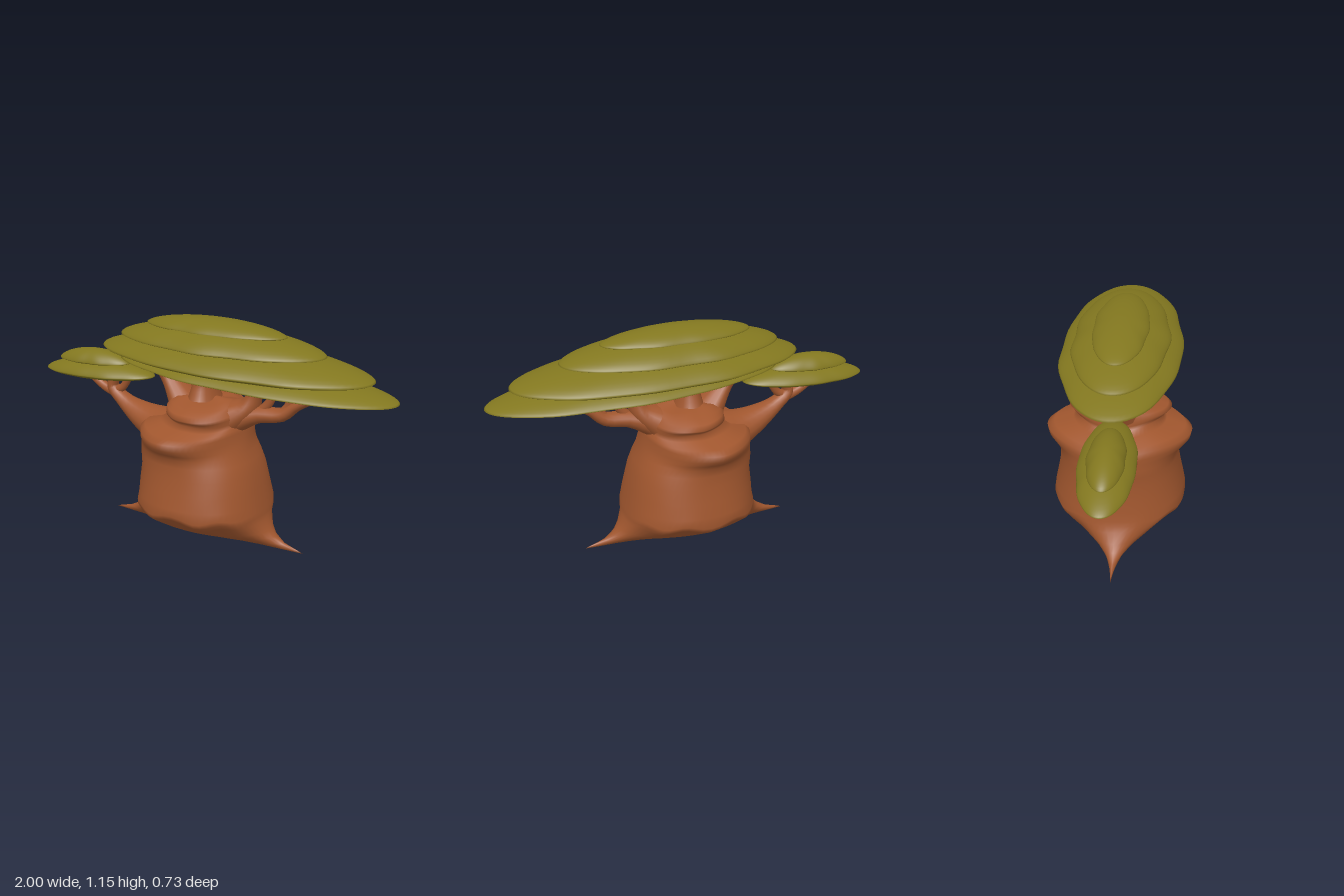
import * as THREE from 'three';

const bark = new THREE.MeshStandardMaterial({ color: 0xa0562e });
bark.name = 'bark';
const leaf = new THREE.MeshStandardMaterial({ color: 0x82771f });
leaf.name = 'leaf';

// Smooth skin over a stack of closed rings; point(ring, angle) gives [x, y, z]
function loft(name, material, rings, sides, point) {
  const pos = [], index = [];
  for (let j = 0; j < rings; j++) {
    for (let i = 0; i < sides; i++) {
      pos.push(...point(j, (i / sides) * Math.PI * 2));
      if (j === rings - 1) continue;
      const a = j * sides + i, b = j * sides + ((i + 1) % sides);
      index.push(a, a + sides, b, b, a + sides, b + sides);
    }
  }
  const geo = new THREE.BufferGeometry();
  geo.setAttribute('position', new THREE.Float32BufferAttribute(pos, 3));
  geo.setIndex(index);
  geo.computeVertexNormals();
  const mesh = new THREE.Mesh(geo, material);
  mesh.name = name;
  return mesh;
}

const power = (v, p) => Math.sign(v) * Math.abs(v) ** p;

// Trunk sections: y, centre x, half width, half depth, roundness exponent
const SECTIONS = [
  [0.0, 0, 0.28, 0.004, 2], [0.01, 0, 0.565, 0.03, 1.1], [0.02, 0, 0.54, 0.07, 1.15],
  [0.04, 0, 0.47, 0.12, 1.4], [0.07, 0, 0.415, 0.18, 1.7], [0.1, 0, 0.385, 0.23, 1.9],
  [0.15, 0, 0.355, 0.29, 2.2], [0.18, 0.005, 0.345, 0.33, 2.3], [0.205, 0.005, 0.34, 0.343, 2.3],
  [0.25, 0.005, 0.33, 0.335, 2.3], [0.32, 0, 0.32, 0.32, 2.3], [0.4, -0.005, 0.306, 0.305, 2.3],
  [0.46, -0.02, 0.3, 0.3, 2.2], [0.5, -0.03, 0.29, 0.302, 2.1], [0.53, -0.035, 0.285, 0.33, 1.9],
  [0.56, -0.04, 0.28, 0.358, 1.8], [0.595, -0.04, 0.275, 0.365, 1.8], [0.615, -0.03, 0.26, 0.33, 1.9],
  [0.63, 0, 0.22, 0.235, 2], [0.65, 0.02, 0.2, 0.21, 2], [0.675, 0.02, 0.2, 0.24, 2],
  [0.69, 0.02, 0.195, 0.258, 1.9], [0.712, 0.01, 0.185, 0.24, 1.9], [0.725, 0.01, 0.18, 0.18, 2],
  [0.745, 0.01, 0.15, 0.14, 2], [0.75, 0.01, 0.01, 0.01, 2],
];

function makeTrunk() {
  return loft('trunk', bark, SECTIONS.length, 64, (j, a) => {
    const [y, cx, hx, hz, n] = SECTIONS[j];
    const c = Math.cos(a), s = Math.sin(a);
    // scalloped ridge above the roots, and slanting folds near the crown
    let dy = 0;
    if (y > 0.12 && y < 0.23) dy = 0.012 * Math.sin(9 * a) * Math.abs(s);
    if (y > 0.52) dy = 0.012 * Math.sin(3 * a + 1) * Math.abs(c);
    return [cx + hx * power(c, 2 / n), y + dy, hz * power(s, 2 / n)];
  });
}

// Tapered limb through points [x, y, radius]; depth stretches it along z
function limb(name, points, depth = 1) {
  const curve = new THREE.CatmullRomCurve3(points.map(([x, y, r]) => new THREE.Vector3(x, y, r)));
  const rings = 15;
  return loft(name, bark, rings, 16, (j, a) => {
    const t = j / (rings - 1);
    const p = curve.getPoint(t), d = curve.getTangent(t);
    const len = Math.hypot(d.x, d.y) || 1;
    const k = Math.cos(a) * p.z;
    return [p.x + (d.y / len) * k, p.y - (d.x / len) * k, Math.sin(a) * p.z * depth];
  });
}

// Lens-shaped foliage tier whose rim runs from (x0, y0) to (x1, y1)
function tier(name, x0, y0, x1, y1, halfDepth, up, down, seed) {
  const rings = 23;
  return loft(name, leaf, rings, 72, (j, a) => {
    const theta = (j / (rings - 1) - 0.5) * Math.PI * 0.998;
    const r = Math.cos(theta), s = Math.sin(theta);
    const side = Math.sin(a);
    const wave = 1 + 0.018 * r * side * side * (Math.sin(7 * a + seed) + Math.sin(11 * a - seed));
    const u = 0.5 + 0.5 * r * Math.cos(a);
    const y = y0 + (y1 - y0) * u + power(s, 1.35) * (s > 0 ? up : down);
    return [x0 + (x1 - x0) * u, y, halfDepth * r * side * wave];
  });
}

export function createModel() {
  const model = new THREE.Group();
  model.name = 'tree';

  const wood = new THREE.Group();
  wood.name = 'wood';
  wood.add(
    makeTrunk(),
    // crown branches
    limb('centreBranch', [[0, 0.68, 0.1], [0, 0.77, 0.068], [0, 0.84, 0.055], [0, 0.92, 0.075]], 1.5),
    limb('crownLeftFork', [[-0.08, 0.66, 0.09], [-0.14, 0.74, 0.065], [-0.2, 0.82, 0.045], [-0.26, 0.91, 0.05]], 1.5),
    limb('crownRightFork', [[0.15, 0.66, 0.09], [0.25, 0.73, 0.055], [0.285, 0.81, 0.035], [0.31, 0.9, 0.045]], 1.4),
    // long branch towards the wide end of the canopy
    limb('outerBranch', [[0.14, 0.64, 0.08], [0.3, 0.7, 0.045], [0.43, 0.72, 0.034], [0.51, 0.78, 0.025], [0.66, 0.86, 0.022]], 1.3),
    limb('outerTwig', [[0.43, 0.72, 0.03], [0.465, 0.78, 0.02], [0.48, 0.88, 0.026]]),
    limb('innerTwig', [[0.3, 0.7, 0.03], [0.36, 0.77, 0.022], [0.4, 0.88, 0.022]]),
    // low branch carrying the small canopy
    limb('lowBranch', [[-0.16, 0.52, 0.14], [-0.29, 0.55, 0.095], [-0.4, 0.59, 0.065], [-0.5, 0.645, 0.04], [-0.57, 0.71, 0.03], [-0.55, 0.78, 0.028]], 1.2),
    limb('lowOuterTwig', [[-0.52, 0.67, 0.03], [-0.62, 0.7, 0.025], [-0.73, 0.77, 0.022]]),
    limb('lowInnerTwig', [[-0.54, 0.69, 0.025], [-0.5, 0.72, 0.02], [-0.46, 0.79, 0.022]]),
  );

  const canopy = new THREE.Group();
  canopy.name = 'mainCanopy';
  canopy.add(
    tier('lowestTier', -0.49, 0.905, 1.0, 0.86, 0.265, 0.08, 0.03, 1),
    tier('wideTier', -0.59, 0.96, 0.88, 0.94, 0.3, 0.1, 0.055, 2),
    tier('upperTier', -0.48, 1.03, 0.64, 1.025, 0.235, 0.09, 0.03, 3),
    tier('topTier', -0.33, 1.095, 0.44, 1.095, 0.135, 0.057, 0.03, 4),
  );

  const small = new THREE.Group();
  small.name = 'smallCanopy';
  small.add(
    tier('smallLowerTier', -1.0, 0.765, -0.31, 0.795, 0.13, 0.07, 0.035, 5),
    tier('smallUpperTier', -0.91, 0.83, -0.46, 0.845, 0.085, 0.065, 0.02, 6),
  );

  model.add(wood, canopy, small);
  return model;
}
